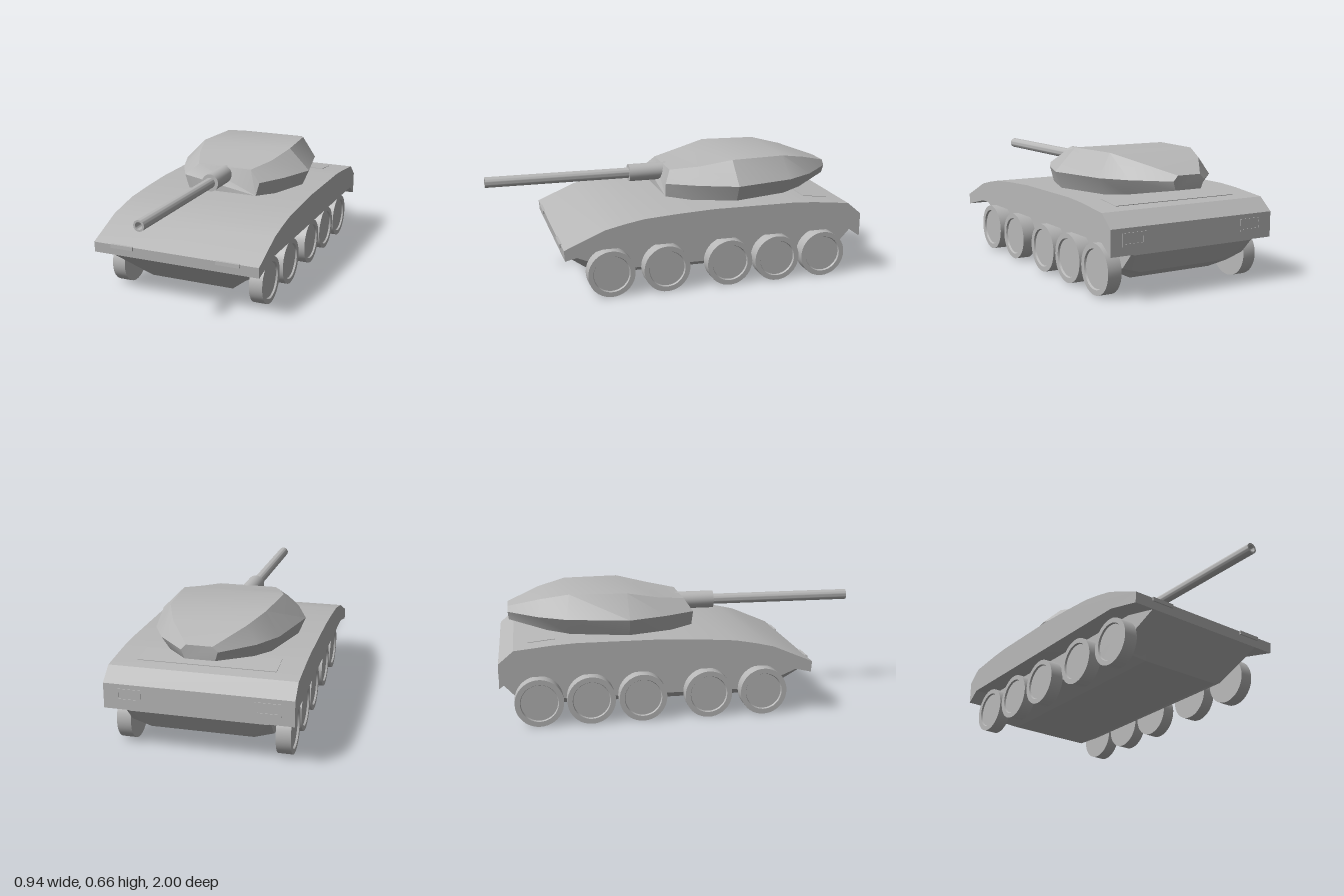
import * as THREE from 'three';
import { toCreasedNormals } from 'three/addons/utils/BufferGeometryUtils.js';

const grey = new THREE.MeshStandardMaterial({ color: 0xb8b8b8 });
grey.name = 'plain grey';

function add(parent, name, geometry, x = 0, y = 0, z = 0) {
  const mesh = new THREE.Mesh(geometry, grey);
  mesh.name = name;
  mesh.position.set(x, y, z);
  parent.add(mesh);
  return mesh;
}

// Skin over rings of [x, y, z], ordered front to back, anticlockwise seen from the front
function loft(rings, crease) {
  const n = rings[0].length, index = [];
  for (let i = 0; i < rings.length - 1; i++) {
    for (let j = 0; j < n; j++) {
      const a = i * n + j, b = i * n + (j + 1) % n;
      index.push(a, a + n, b, b, a + n, b + n);
    }
  }
  const last = (rings.length - 1) * n;
  for (let j = 1; j < n - 1; j++) {
    index.push(0, j, j + 1, last, last + j + 1, last + j);
  }
  const g = new THREE.BufferGeometry();
  g.setAttribute('position', new THREE.Float32BufferAttribute(rings.flat(2), 3));
  g.setIndex(index);
  return toCreasedNormals(g.toNonIndexed(), crease);
}

// Complete a right-to-left symmetric ring from its +x half, listed bottom to top
const mirrorRing = half => [...half, ...half.map(([x, y, z]) => [-x, y, z]).reverse()];

export function createModel() {
  const model = new THREE.Group();
  model.name = 'tank';

  // Upper hull: side profile as [z, y], extruded across the width
  const profile = [
    [0.65, 0.237], [0.655, 0.295], [0.44, 0.387], [0.34, 0.41], [0.23, 0.43], [0.05, 0.443],
    [-0.15, 0.453], [-0.6, 0.453], [-0.72, 0.446], [-0.92, 0.425], [-0.998, 0.36],
    [-0.998, 0.23], [-0.92, 0.285], [0.45, 0.285],
  ];
  const hullShape = new THREE.Shape(profile.map(p => new THREE.Vector2(...p)));
  const hull = new THREE.ExtrudeGeometry(hullShape, { depth: 0.944, bevelEnabled: false });
  hull.translate(0, 0, -0.472).rotateY(-Math.PI / 2);
  add(model, 'upperHull', toCreasedNormals(hull, 0.4));

  // Lower hull: [z, side y, bottom y, bottom half width]
  const belly = [
    [0.65, 0.242, 0.238, 0.35], [0.44, 0.155, 0.064, 0.24], [0.36, 0.125, 0.064, 0.24],
    [-0.8, 0.125, 0.064, 0.24], [-0.92, 0.15, 0.12, 0.26], [-0.996, 0.232, 0.226, 0.34],
  ];
  add(model, 'lowerHull', loft(belly.map(([z, ys, yb, wb]) =>
    mirrorRing([[wb, yb, z], [0.358, ys, z], [0.358, z > 0.6 ? 0.27 : 0.3, z]])), 0.3));

  // Engine deck plate
  const plate = add(model, 'enginePlate', new THREE.BoxGeometry(0.7, 0.012, 0.14), 0, 0.437, -0.775);
  plate.rotation.x = -0.105;

  // Lamps at both ends
  for (const s of [1, -1]) {
    add(model, 'headlight', new THREE.BoxGeometry(0.132, 0.02, 0.02), s * 0.303, 0.288, 0.652);
    const frame = new THREE.Shape();
    frame.moveTo(-0.065, -0.032).lineTo(0.065, -0.032).lineTo(0.065, 0.032).lineTo(-0.065, 0.032);
    const hole = new THREE.Path();
    hole.moveTo(-0.05, -0.02).lineTo(-0.05, 0.02).lineTo(0.05, 0.02).lineTo(0.05, -0.02);
    frame.holes.push(hole);
    add(model, 'tailLampFrame', new THREE.ExtrudeGeometry(frame, { depth: 0.004, bevelEnabled: false }),
      s * 0.345, 0.305, -1.001);
  }

  // Road wheels with a shallow dish in the outer face
  const tread = [[0, 0], [0.127, 0], [0.127, 0.074], [0.1, 0.074], [0.096, 0.064], [0, 0.064]];
  const wheel = toCreasedNormals(
    new THREE.LatheGeometry(tread.map(p => new THREE.Vector2(...p)), 40).toNonIndexed(), 0.5);
  for (const s of [1, -1]) {
    for (const z of [0.4, 0.098, -0.255, -0.528, -0.799]) {
      const w = add(model, s > 0 ? 'leftWheel' : 'rightWheel', wheel, s * 0.366, 0.13, z);
      w.rotation.z = -s * Math.PI / 2;
    }
  }

  // Turret stations: bottom, waist and roof corners as [x, y, z]
  const turret = new THREE.Group();
  turret.name = 'turret';
  model.add(turret);
  const stations = [
    [[0.205, 0.463, 0.045], [0.228, 0.54, 0.05], [0.16, 0.6, 0.01]],
    [[0.275, 0.453, -0.08], [0.315, 0.54, -0.11], [0.225, 0.623, -0.14]],
    [[0.355, 0.453, -0.315], [0.392, 0.54, -0.315], [0.272, 0.66, -0.315]],
    [[0.275, 0.453, -0.62], [0.32, 0.54, -0.64], [0.247, 0.66, -0.62]],
    [[0.215, 0.465, -0.74], [0.24, 0.543, -0.79], [0.185, 0.628, -0.77]],
    [[0.075, 0.5, -0.94], [0.09, 0.545, -0.945], [0.065, 0.572, -0.945]],
  ];
  add(turret, 'turretShell', loft(stations.map(mirrorRing), 0.36));

  // Gun: thick sleeve, long barrel and a hollow muzzle
  const gunProfile = [
    [0, -0.02], [0.048, -0.02], [0.048, 0.205], [0.029, 0.205], [0.029, 1], [0.019, 1], [0.019, 0.93], [0, 0.93],
  ];
  const gun = toCreasedNormals(
    new THREE.LatheGeometry(gunProfile.map(p => new THREE.Vector2(...p)), 28).toNonIndexed(), 0.5);
  add(turret, 'gun', gun, 0, 0.556, 0).rotation.x = Math.PI / 2;

  return model;
}
